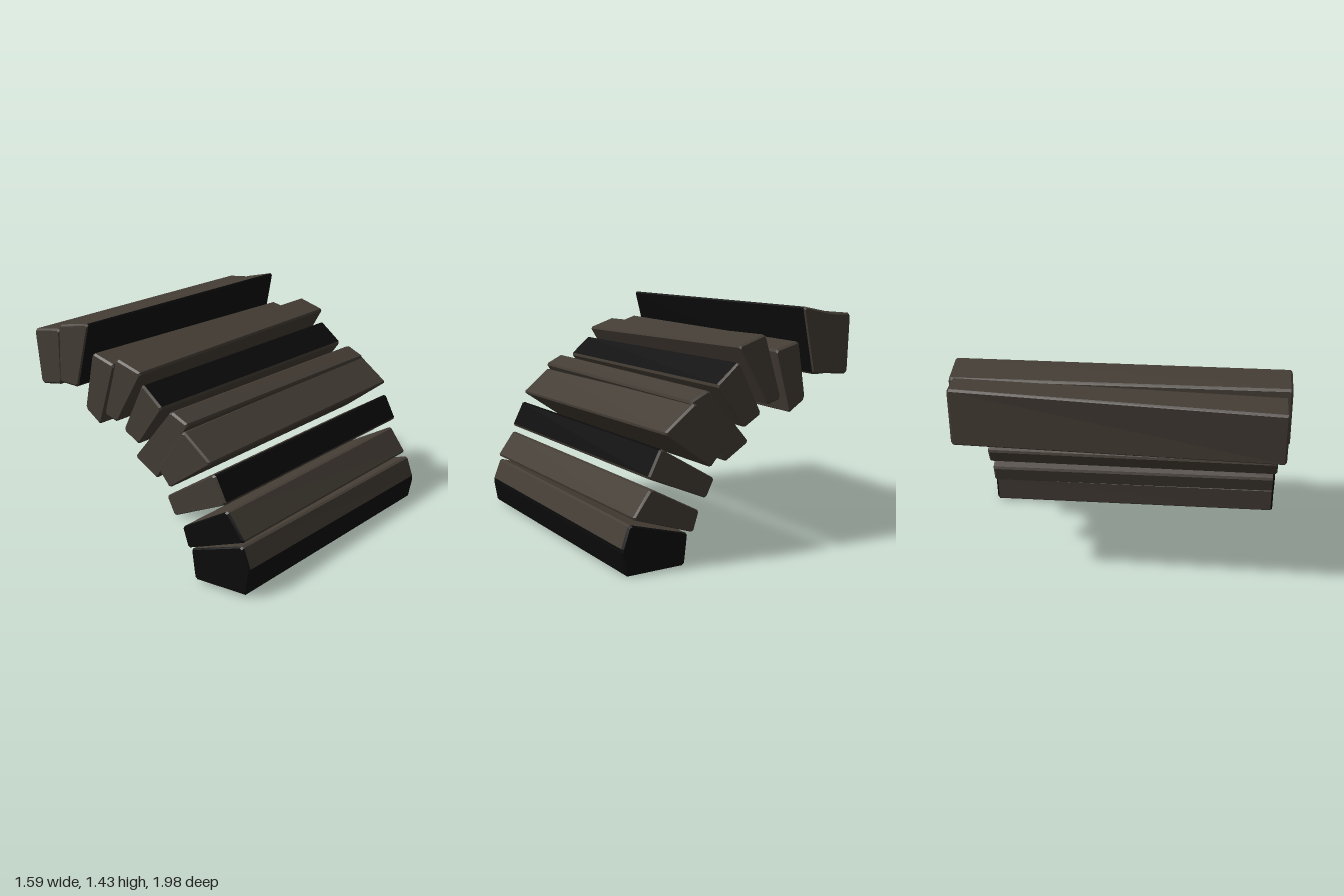
import * as THREE from 'three';

const stoneBrown = new THREE.MeshStandardMaterial({ color: 0x443d35 });
stoneBrown.name = 'stone brown';
const stoneBlack = new THREE.MeshStandardMaterial({ color: 0x0b0b0b });
stoneBlack.name = 'stone black';

const BEVEL = 0.012;

// Wedge cross-section around the line from its inner to its outer edge.
// Corners run clockwise: outer left, (ridge), outer right, inner right, inner left.
function wedgeSection(outer, inner, widths, slants, ridge) {
  const u = outer.clone().sub(inner).normalize();
  const v = new THREE.Vector2(u.y, -u.x);
  const corner = (base, i, side) => base.clone()
    .addScaledVector(v, (side * widths[i]) / 2)
    .addScaledVector(u, (-side * slants[i]) / 2);
  const points = [corner(outer, 0, -1), corner(outer, 0, 1), corner(inner, 1, 1), corner(inner, 1, -1)];
  if (ridge) points.splice(1, 0, outer.clone().addScaledVector(u, ridge));
  return points;
}

// Cut every corner of a section into two points
function chamfer(points) {
  const n = points.length;
  return points.flatMap((p, i) => [points[(i + n - 1) % n], points[(i + 1) % n]].map(
    (q) => p.clone().addScaledVector(q.clone().sub(p).normalize(), BEVEL)));
}

// Place a section at z, shrunk toward its middle by inset
function ring(points, z, inset) {
  const c = new THREE.Vector2();
  points.forEach((p) => c.addScaledVector(p, 1 / points.length));
  return points.map((p) => {
    const q = p.clone().addScaledVector(p.clone().sub(c).normalize(), -inset);
    return new THREE.Vector3(q.x, q.y, z);
  });
}

// Bevelled wedge beam: the back section is the front one shifted and scaled.
// black lists the side numbers and ends that are black.
function addStone(group, name, { outer, inner, widths, slants, shift, scale = 1, ridge = 0, reach = 0.965, black = [] }) {
  const o = new THREE.Vector2(...outer), i = new THREE.Vector2(...inner);
  const s = new THREE.Vector2(...shift);
  const front = chamfer(wedgeSection(o, i, widths, slants, ridge));
  const back = chamfer(wedgeSection(
    o.clone().add(s), i.clone().addScaledVector(s, 0.4), widths.map((w) => w * scale), slants, ridge));
  const rings = [
    ring(front, reach, BEVEL), ring(front, reach - BEVEL, 0),
    ring(back, BEVEL - reach, 0), ring(back, -reach, BEVEL),
  ];
  const n = front.length;
  const faces = [[], []]; // brown, black
  const tri = (key, ...corners) => {
    const list = faces[black.includes(key) ? 1 : 0];
    corners.forEach((p) => list.push(p.x, p.y, p.z));
  };
  for (let r = 0; r < 3; r++) {
    for (let j = 0; j < n; j++) {
      const k = (j + 1) % n;
      const key = ['front', Math.floor(j / 2), 'back'][r];
      tri(key, rings[r][j], rings[r][k], rings[r + 1][k]);
      tri(key, rings[r][j], rings[r + 1][k], rings[r + 1][j]);
    }
  }
  for (let k = 1; k < n - 1; k++) {
    tri('front', rings[0][0], rings[0][k + 1], rings[0][k]);
    tri('back', rings[3][0], rings[3][k], rings[3][k + 1]);
  }
  const geometry = new THREE.BufferGeometry();
  geometry.setAttribute('position', new THREE.Float32BufferAttribute(faces.flat(), 3));
  geometry.addGroup(0, faces[0].length / 3, 0);
  geometry.addGroup(faces[0].length / 3, faces[1].length / 3, 1);
  geometry.computeVertexNormals();
  const mesh = new THREE.Mesh(geometry, [stoneBrown, stoneBlack]);
  mesh.name = name;
  group.add(mesh);
}

export function createModel() {
  const group = new THREE.Group();
  group.name = 'stoneArch';

  // Crown of the arch
  addStone(group, 'crownStone', {
    outer: [-0.7, 1.345], inner: [-0.68, 1.01], widths: [0.2, 0.16], slants: [-0.01, -0.01],
    shift: [0.035, 0.045], scale: 0.78 });
  addStone(group, 'crownNeighbourStone', {
    outer: [-0.465, 1.405], inner: [-0.52, 1.035], widths: [0.22, 0.14], slants: [-0.065, -0.01],
    shift: [-0.03, 0.01], scale: 0.95, reach: 0.985, black: [1] });

  // Upper part of the curve
  addStone(group, 'upperStone', {
    outer: [-0.26, 1.225], inner: [-0.355, 0.86], widths: [0.167, 0.127], slants: [0.01, 0.05],
    shift: [-0.03, -0.01] });
  addStone(group, 'upperWedgeStone', {
    outer: [-0.07, 1.21], inner: [-0.215, 0.875], widths: [0.19, 0.095], slants: [-0.016, -0.01],
    shift: [0.025, 0.05] });
  addStone(group, 'shoulderStone', {
    outer: [0.1, 1.06], inner: [-0.065, 0.788], widths: [0.182, 0.128], slants: [0.03, 0],
    shift: [0.017, 0.02], scale: 1.08, black: [0] });

  // Middle of the curve
  addStone(group, 'middleStone', {
    outer: [0.3, 0.97], inner: [0.05, 0.63], widths: [0.132, 0.188], slants: [-0.023, -0.014],
    shift: [0.01, 0], reach: 0.975 });
  addStone(group, 'middleWedgeStone', {
    outer: [0.433, 0.83], inner: [0.19, 0.6], widths: [0.242, 0.128], slants: [-0.03, 0.01],
    shift: [0.01, 0.03], scale: 1.05, reach: 0.99 });
  addStone(group, 'lowerStone', {
    outer: [0.58, 0.61], inner: [0.225, 0.435], widths: [0.179, 0.121], slants: [0, 0],
    shift: [0.015, 0.01], reach: 0.975, black: [0] });

  // Footing
  addStone(group, 'footingUpperStone', {
    outer: [0.678, 0.41], inner: [0.32, 0.26], widths: [0.192, 0.126], slants: [-0.044, 0.01],
    shift: [-0.01, -0.01], black: ['front'] });
  addStone(group, 'footingStone', {
    outer: [0.735, 0.16], inner: [0.375, 0.11], widths: [0.291, 0.183], slants: [0.014, 0],
    shift: [0.02, -0.012], ridge: 0.04, black: [1, 2, 'front', 'back'] });
  return group;
}
